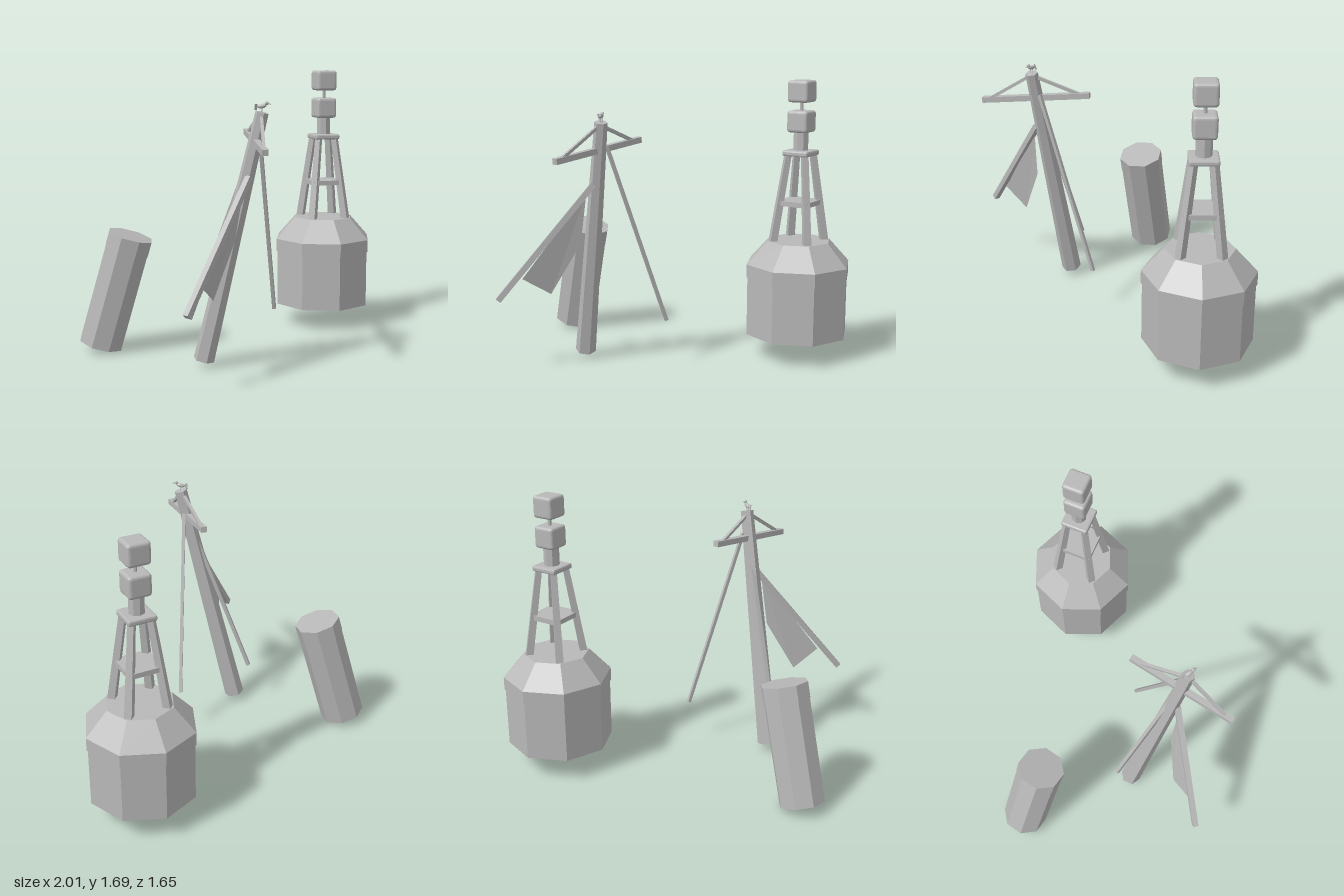
import * as THREE from 'three';
import { RoundedBoxGeometry } from 'three/addons/geometries/RoundedBoxGeometry.js';

const V = (x, y, z) => new THREE.Vector3(x, y, z);

export function createModel() {
  const model = new THREE.Group();
  model.name = 'mooringScene';
  const grey = new THREE.MeshStandardMaterial({ color: 0xb8b8b8, flatShading: true });
  grey.name = 'plain grey';

  function add(parent, name, geometry, pos = [0, 0, 0]) {
    const mesh = new THREE.Mesh(geometry, grey);
    mesh.name = name;
    mesh.position.set(...pos);
    parent.add(mesh);
    return mesh;
  }
  function group(name, pos = [0, 0, 0]) {
    const g = new THREE.Group();
    g.name = name;
    g.position.set(...pos);
    model.add(g);
    return g;
  }
  // Prism or tapered pole running from point a to point b
  function pole(parent, name, a, b, r0, r1, sides, turn = 0) {
    const dir = b.clone().sub(a);
    const g = new THREE.CylinderGeometry(r1, r0, dir.length(), sides, 1, false, turn);
    const mesh = add(parent, name, g);
    mesh.position.copy(a).add(b).multiplyScalar(0.5);
    mesh.quaternion.setFromUnitVectors(V(0, 1, 0), dir.normalize());
    return mesh;
  }
  // Rectangular beam from a to b, kept level
  function beam(parent, name, a, b, w, h) {
    const mesh = add(parent, name, new THREE.BoxGeometry(w, h, a.distanceTo(b)));
    mesh.position.copy(a).add(b).multiplyScalar(0.5);
    mesh.lookAt(b);
    return mesh;
  }

  // Buoy: octagonal float with a slim collar and sloped shoulder
  const buoy = group('buoy', [0.675, 0, -0.5]);
  const drum = (name, r1, r0, y0, y1) =>
    add(buoy, name, new THREE.CylinderGeometry(r1, r0, y1 - y0, 8), [0, (y0 + y1) / 2, 0]);
  drum('float', 0.318, 0.318, 0.14, 0.5);
  drum('collar', 0.325, 0.325, 0.5, 0.58);
  drum('shoulder', 0.197, 0.325, 0.58, 0.72);

  // Four leaning tower legs with two platforms
  for (const sx of [-1, 1]) for (const sz of [-1, 1]) {
    pole(buoy, 'towerLeg', V(sx * 0.116, 0.7, sz * 0.116), V(sx * 0.055, 1.25, sz * 0.055), 0.031, 0.025, 4);
  }
  add(buoy, 'middlePlatform', new THREE.BoxGeometry(0.205, 0.03, 0.205), [0, 0.953, 0]);
  add(buoy, 'topPlatform', new RoundedBoxGeometry(0.167, 0.034, 0.167, 1, 0.01), [0, 1.255, 0]);

  // Column and two stacked cube topmarks
  drum('column', 0.046, 0.046, 1.27, 1.39);
  drum('topmarkRod', 0.011, 0.011, 1.38, 1.6);
  for (const y of [1.444, 1.623]) {
    add(buoy, 'topmark', new RoundedBoxGeometry(0.134, 0.13, 0.134, 2, 0.018), [0, y, 0]);
  }

  // Leaning octagonal bollard with a faint band at its head
  const bollard = group('bollard');
  const foot = V(-0.875, 0.037, -0.25), head = V(-0.695, 0.713, -0.168);
  const neck = foot.clone().lerp(head, 0.865);
  pole(bollard, 'bollardPost', foot, neck, 0.137, 0.137, 8, 0.2);
  pole(bollard, 'bollardHead', neck, head, 0.14, 0.14, 8, 0.2);

  // Leaning mast with crossbar and braces
  const wreck = group('wreckMast');
  pole(wreck, 'mast', V(-0.365, 0.04, 0.285), V(-0.077, 1.475, 0.48), 0.062, 0.038, 6);
  beam(wreck, 'crossbar', V(-0.16, 1.28, 0.788), V(-0.058, 1.347, 0.137), 0.036, 0.034);
  beam(wreck, 'frontBrace', V(-0.085, 1.455, 0.49), V(-0.15, 1.295, 0.735), 0.018, 0.018);
  beam(wreck, 'backBrace', V(-0.085, 1.455, 0.47), V(-0.068, 1.345, 0.19), 0.018, 0.018);

  // Fallen boom and two thin stays
  beam(wreck, 'boom', V(-0.595, 0.435, 0.803), V(-0.147, 1.115, 0.465), 0.034, 0.034);
  beam(wreck, 'stay', V(-0.43, 0.27, 0.216), V(-0.11, 1.3, 0.45), 0.022, 0.022);
  beam(wreck, 'stay', V(0.122, 0.27, 0.118), V(-0.075, 1.34, 0.435), 0.02, 0.02);

  // Torn sail below the boom, faced on both sides
  const corners = [V(-0.185, 1.06, 0.485), V(-0.485, 0.56, 0.714), V(-0.387, 0.455, 0.575), V(-0.235, 0.76, 0.48)];
  const order = [0, 1, 2, 0, 2, 3, 0, 2, 1, 0, 3, 2];
  const sail = new THREE.BufferGeometry().setFromPoints(order.map((i) => corners[i]));
  sail.computeVertexNormals();
  add(wreck, 'sail', sail);

  // Small bird perched on the masthead
  const bird = group('bird', [-0.077, 1.475, 0.48]);
  bird.rotation.y = -0.6;
  const blob = (name, r, scale, pos) => {
    const m = add(bird, name, new THREE.IcosahedronGeometry(r, 1), pos);
    m.scale.set(...scale);
    return m;
  };
  blob('birdBody', 0.015, [1.8, 0.85, 0.9], [0, 0.034, 0]).rotation.z = 0.2;
  blob('birdHead', 0.011, [1, 1, 1], [0.026, 0.05, 0]);
  pole(bird, 'beak', V(0.034, 0.05, 0), V(0.052, 0.045, 0), 0.005, 0.001, 5);
  beam(bird, 'birdTail', V(-0.018, 0.032, 0), V(-0.052, 0.025, 0), 0.014, 0.005);
  for (const s of [-1, 1]) pole(bird, 'birdLeg', V(0, -0.004, s * 0.006), V(0, 0.028, s * 0.006), 0.002, 0.002, 5);

  return model;
}
